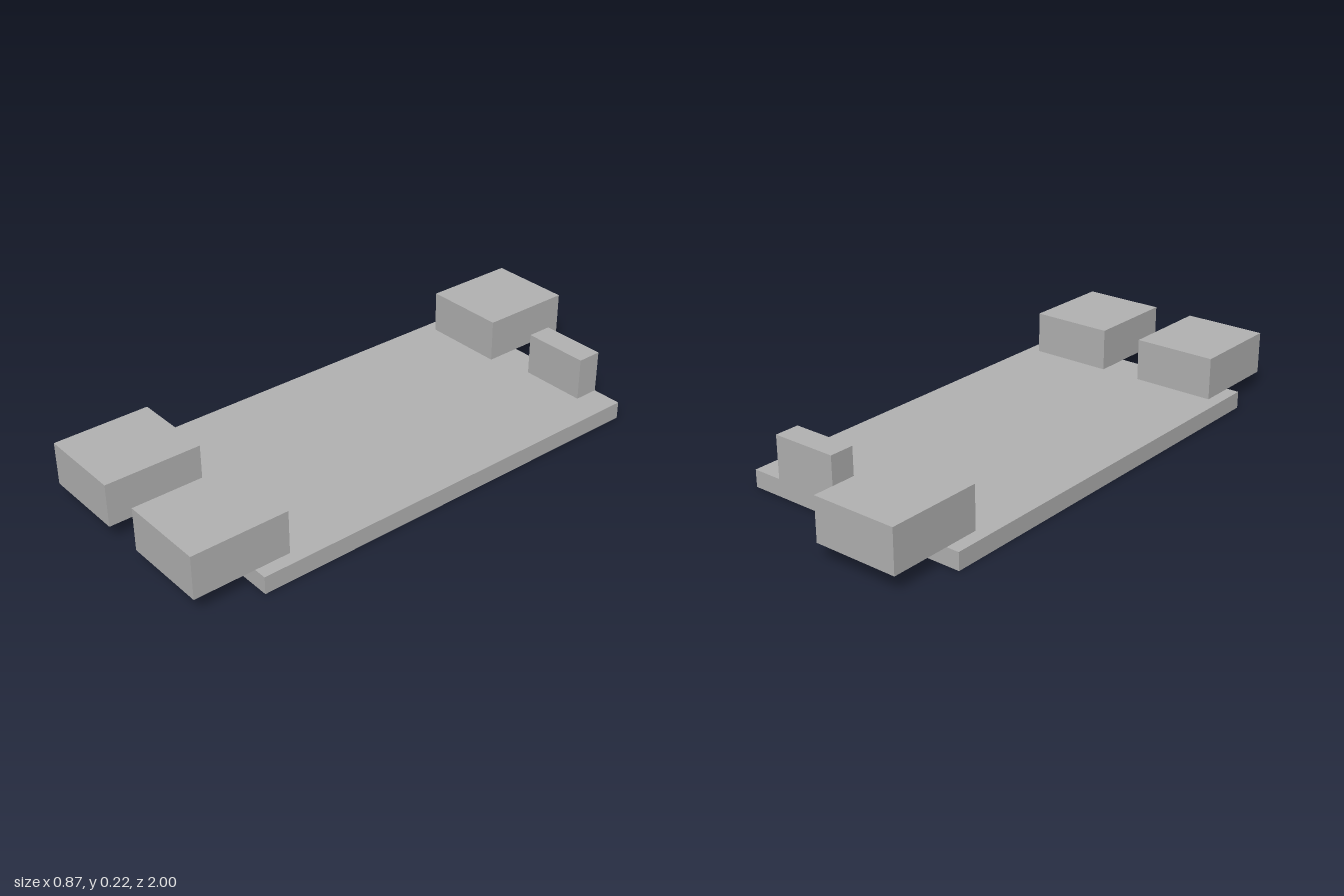
import * as THREE from 'three';

export function createModel() {
  const model = new THREE.Group();
  model.name = 'circuitBoard';
  const grey = new THREE.MeshStandardMaterial({ color: 0xb3b3b3 });
  grey.name = 'plain grey';

  // Box given by its lower and upper limits on each axis
  function block(name, [x0, x1], [y0, y1], [z0, z1]) {
    const mesh = new THREE.Mesh(new THREE.BoxGeometry(x1 - x0, y1 - y0, z1 - z0), grey);
    mesh.position.set((x0 + x1) / 2, (y0 + y1) / 2, (z0 + z1) / 2);
    mesh.name = name;
    model.add(mesh);
  }

  const boardTop = 0.063;
  const height = [boardTop, 0.219];

  // Flat board
  block('board', [-0.437, 0.437], [0, boardTop], [-0.78, 0.78]);

  // Large connectors overhanging the board ends
  block('frontLeftConnector', [0.078, 0.39], height, [0.65, 1]);
  block('frontRightConnector', [-0.39, -0.078], height, [0.65, 1]);
  block('backRightConnector', [-0.39, -0.078], height, [-1, -0.65]);

  // Slim connector flush with the back edge
  block('slimConnector', [0.078, 0.325], height, [-0.78, -0.688]);

  return model;
}
